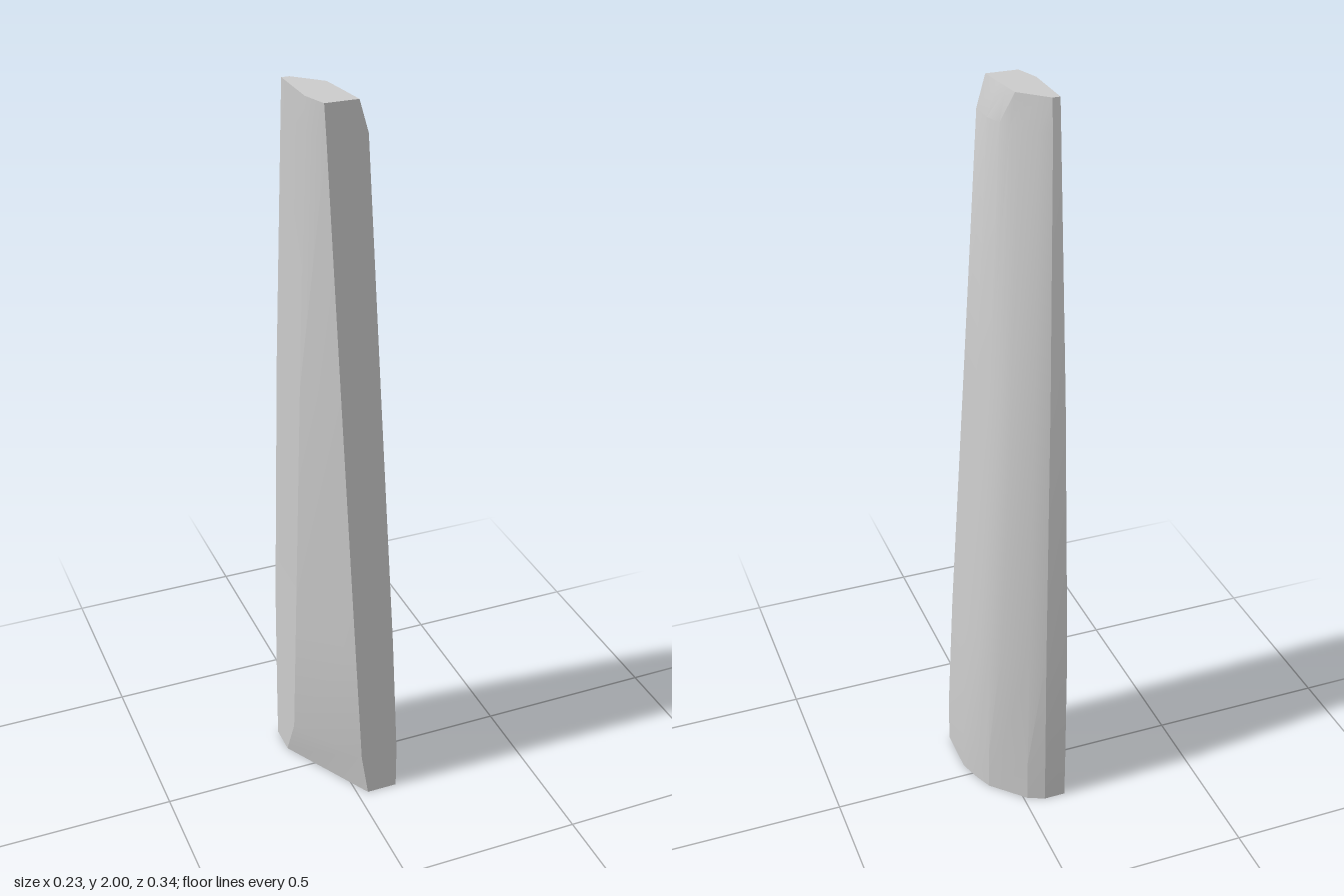
import * as THREE from 'three';
import { toCreasedNormals } from 'three/addons/utils/BufferGeometryUtils.js';

// Outer curve at a few heights: [x, z] pairs running from the front edge round to the back edge.
const BASE = [.115, .17, .115, .04, .095, -.02, .075, -.065, .05, -.09, -.01, -.15, -.055, -.17, -.115, -.17];
// Each section: height, x of the inner front edge, z of the inner side edge, outer curve.
const SECTIONS = [
  [0, .03, -.09, BASE],
  [.13, .01, -.03, BASE],
  [.5, -.011, -.003, [.097, .17, .097, .06, .085, -.02, .068, -.06, .045, -.09, -.015, -.145, -.055, -.165, -.115, -.165]],
  [1.25, -.053, .051, [.051, .17, .051, .075, .04, .01, .025, -.03, .005, -.055, -.04, -.098, -.075, -.115, -.115, -.115]],
  [1.92, -.09, .099, [.011, .17, .01, .1, -.005, .055, -.02, .027, -.035, .005, -.07, -.033, -.095, -.053, -.115, -.053]],
  [2, -.095, .105, [-.012, .17, -.02, .1, -.025, .06, -.03, .02, -.05, 0, -.07, -.02, -.095, -.045, -.115, -.045]],
];

export function createModel() {
  const rings = SECTIONS.map(([y, frontX, sideZ, outer]) => {
    const ring = [[frontX, y, .17]];
    for (let i = 0; i < outer.length; i += 2) ring.push([outer[i], y, outer[i + 1]]);
    ring.push([-.115, y, sideZ]);
    return ring;
  });

  const positions = [];
  const tri = (...points) => points.forEach((p) => positions.push(...p));
  const n = rings[0].length;

  // Walls between neighbouring sections
  for (let r = 0; r < rings.length - 1; r++) {
    const low = rings[r], high = rings[r + 1];
    for (let i = 0; i < n; i++) {
      const j = (i + 1) % n;
      tri(low[i], low[j], high[j]);
      tri(low[i], high[j], high[i]);
    }
  }

  // Flat ends
  const bottom = rings[0], top = rings[rings.length - 1];
  for (let i = 1; i < n - 1; i++) {
    tri(bottom[0], bottom[i + 1], bottom[i]);
    tri(top[0], top[i], top[i + 1]);
  }

  const geometry = new THREE.BufferGeometry();
  geometry.setAttribute('position', new THREE.Float32BufferAttribute(positions, 3));

  // Tapered post with a rounded outer side
  const post = new THREE.Mesh(
    toCreasedNormals(geometry, .35),
    new THREE.MeshStandardMaterial({ color: 0xcccccc }),
  );
  post.name = 'taperedPost';

  const model = new THREE.Group();
  model.name = 'cornerPost';
  model.add(post);
  return model;
}
